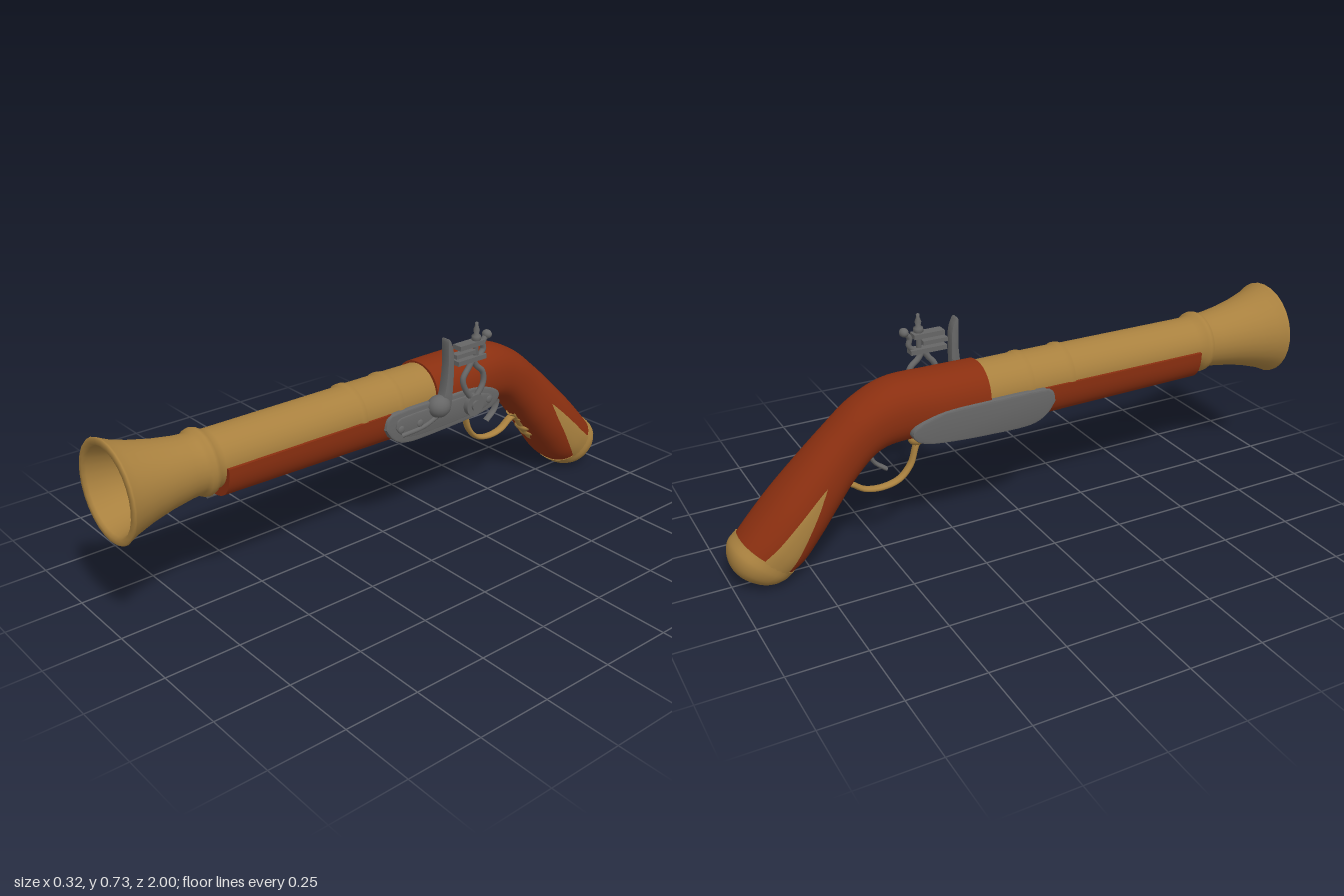
import * as THREE from 'three';
import { mergeVertices, toCreasedNormals } from 'three/addons/utils/BufferGeometryUtils.js';
import { ParametricGeometry } from 'three/addons/geometries/ParametricGeometry.js';

const material = (name, color) => {
  const m = new THREE.MeshStandardMaterial({ color });
  m.name = name;
  return m;
};

export function createModel() {
  const wood = material('red wood', 0x8a2f10);
  const brass = material('brass', 0xa9813f);
  const steel = material('steel', 0x666666);
  const model = new THREE.Group();

  const add = (name, geometry, mat, x = 0, y = 0, z = 0, parent = model) => {
    const mesh = new THREE.Mesh(geometry, mat);
    mesh.name = name;
    mesh.position.set(x, y, z);
    parent.add(mesh);
    return mesh;
  };
  const ball = (name, mat, r, [x, y, z], [sx, sy, sz] = [1, 1, 1], parent = model) => {
    const mesh = add(name, new THREE.SphereGeometry(r, 18, 12), mat, x, y, z, parent);
    mesh.scale.set(sx, sy, sz);
    return mesh;
  };
  // Smooth rod through [z, y] points in the plane at x, widened sideways
  const rod = (name, mat, pts, r, x = 0, widen = 1, parent = model) => {
    const path = new THREE.CatmullRomCurve3(pts.map(([z, y]) => new THREE.Vector3(0, y, z)));
    const mesh = add(name, new THREE.TubeGeometry(path, 32, r, 10), mat, x, 0, 0, parent);
    mesh.scale.x = widen;
    return mesh;
  };
  // Side plate cut from a smooth [z, y] outline, thick along x
  const plate = (name, mat, pts, depth, x, bevel = 0.005, parent = model) => {
    const curve = new THREE.SplineCurve([...pts, pts[0]].map(([z, y]) => new THREE.Vector2(-z, y)));
    const g = new THREE.ExtrudeGeometry(new THREE.Shape(curve.getPoints(56)), {
      depth, bevelEnabled: bevel > 0, bevelSize: bevel, bevelThickness: bevel, bevelSegments: 2,
    });
    return add(name, toCreasedNormals(g.rotateY(Math.PI / 2), 0.6), mat, x, 0, 0, parent);
  };

  // Barrel with flared muzzle, raised rings and hollow bore
  const AXIS = 0.485;
  const profile = [
    [0.094, -0.2], [0.095, -0.015], [0.099, -0.008], [0.099, 0.008], [0.094, 0.015],
    [0.094, 0.135], [0.099, 0.142], [0.099, 0.158], [0.092, 0.166], [0.091, 0.66],
    [0.094, 0.678], [0.103, 0.688], [0.106, 0.7], [0.103, 0.712], [0.094, 0.722],
    [0.097, 0.76], [0.108, 0.83], [0.124, 0.9], [0.143, 0.96], [0.156, 0.988], [0.16, 0.995],
    [0.156, 1], [0.14, 1], [0.134, 0.99], [0.118, 0.93], [0.096, 0.84], [0.077, 0.77], [0.067, 0.72],
  ].map(([r, z]) => new THREE.Vector2(r, z));
  add('barrel', new THREE.LatheGeometry(profile, 28).rotateX(Math.PI / 2), brass, 0, AXIS);
  add('boreEnd', new THREE.CircleGeometry(0.068, 28), brass, 0, AXIS, 0.722);

  // Fore-end cradle below the barrel
  const cradle = new THREE.Shape();
  for (let i = 0; i <= 28; i++) {
    const a = Math.PI + (i / 28) * Math.PI;
    const x = Math.sign(Math.cos(a)) * Math.abs(Math.cos(a)) ** 0.75 * 0.102;
    const y = -(Math.abs(Math.sin(a)) ** 0.8) * 0.12;
    i ? cradle.lineTo(x, y) : cradle.moveTo(x, y);
  }
  const fore = new THREE.ExtrudeGeometry(cradle, { depth: 0.82, steps: 8, bevelEnabled: false });
  const fp = fore.attributes.position;
  for (let i = 0; i < fp.count; i++) fp.setY(i, fp.getY(i) * (1.04 - 0.13 * fp.getZ(i)));
  add('foreEnd', toCreasedNormals(fore, 0.6), wood, 0, AXIS, -0.16);

  // Lofted shapes: each station is [top z, top y, bottom z, bottom y, half width]
  const loft = (stations) => {
    const top = new THREE.CatmullRomCurve3(stations.map((s) => new THREE.Vector3(0, s[1], s[0])));
    const low = new THREE.CatmullRomCurve3(stations.map((s) => new THREE.Vector3(s[4], s[3], s[2])));
    const soft = (v) => Math.sign(v) * Math.abs(v) ** 0.88;
    return (v, angle, size, target) => {
      const t = top.getPoint(v), b = low.getPoint(v);
      const c = soft(Math.cos(angle)) * size;
      target.set(
        b.x * soft(Math.sin(angle)) * size,
        (t.y + b.y) / 2 + ((t.y - b.y) / 2) * c,
        (t.z + b.z) / 2 + ((t.z - b.z) / 2) * c,
      );
    };
  };
  const TAU = Math.PI * 2;
  const grip = loft([
    [-0.15, 0.585, -0.15, 0.36, 0.104], [-0.3, 0.586, -0.28, 0.368, 0.104],
    [-0.46, 0.582, -0.42, 0.38, 0.099], [-0.57, 0.535, -0.505, 0.365, 0.093],
    [-0.67, 0.455, -0.585, 0.295, 0.093], [-0.76, 0.372, -0.65, 0.215, 0.104],
    [-0.85, 0.284, -0.715, 0.13, 0.115], [-0.925, 0.205, -0.775, 0.058, 0.115],
    [-0.975, 0.15, -0.825, 0.022, 0.106],
  ]);
  add('grip', new ParametricGeometry((u, v, p) => grip(v, u * TAU, 1, p), 40, 56), wood);
  add('gripFront', new ParametricGeometry((u, v, p) => grip(0, u * TAU, v, p), 40, 2), wood);

  // Butt cap and its pointed side spurs
  const cap = loft([
    [-0.965, 0.168, -0.808, 0.03, 0.111], [-0.992, 0.14, -0.832, 0.012, 0.109],
    [-1, 0.105, -0.86, 0.003, 0.096], [-0.993, 0.068, -0.892, 0.001, 0.068],
    [-0.965, 0.035, -0.932, 0.012, 0.025], [-0.95, 0.024, -0.949, 0.023, 0.001],
  ]);
  add('buttCap', new ParametricGeometry((u, v, p) => cap(v, u * TAU, 1, p), 36, 20), brass);
  add('buttCapRim', new ParametricGeometry((u, v, p) => cap(0, u * TAU, v, p), 36, 2), brass);
  for (const side of [1, -1]) {
    const spur = new ParametricGeometry((u, v, p) => {
      const spread = v ** 0.8;
      const from = 1.45 - 0.25 * spread, to = 1.45 + 0.65 * spread;
      const a = side > 0 ? from + (to - from) * u : -to + (to - from) * u;
      grip(0.61 + 0.38 * v, a, 1.025, p);
    }, 10, 20);
    add(side > 0 ? 'leftSpur' : 'rightSpur', spur, brass).material.side = THREE.DoubleSide;
  }

  // Trigger guard with ridged finials front and back
  rod('triggerGuard', brass, [[-0.33, 0.378], [-0.365, 0.345], [-0.39, 0.275], [-0.43, 0.232],
    [-0.49, 0.217], [-0.55, 0.226], [-0.6, 0.258], [-0.635, 0.262]], 0.009, 0, 1.7);
  ball('guardFrontFoot', brass, 0.03, [0, 0.362, -0.365], [0.8, 0.8, 1]);
  rod('guardTang', brass, [[-0.6, 0.28], [-0.64, 0.24], [-0.68, 0.185], [-0.72, 0.145]], 0.013, 0, 1.6);
  [[-0.632, 0.248, 0.026], [-0.666, 0.205, 0.036], [-0.69, 0.178, 0.036], [-0.712, 0.155, 0.026]].forEach(
    ([z, y, r]) => ball('guardRearRidge', brass, r, [0, y, z], [1, 0.45, 0.55]));
  for (let i = 0; i < 4; i++) {
    ball('guardFrontRidge', brass, 0.03, [0, 0.367, -0.19 - i * 0.04], [1.1 - i * 0.1, 0.4, 0.6]);
  }
  rod('trigger', steel, [[-0.5, 0.385], [-0.525, 0.35], [-0.515, 0.315], [-0.475, 0.28]], 0.007, 0, 1.9);

  // Ramrod tucked under the fore-end
  add('ramrod', new THREE.CylinderGeometry(0.013, 0.013, 0.4, 12).rotateX(Math.PI / 2), steel, 0, 0.372, 0.48);

  // Lock plates on both sides
  const outline = [[0.072, 0.44], [0.06, 0.475], [0, 0.483], [-0.15, 0.483], [-0.3, 0.48], [-0.39, 0.458],
    [-0.42, 0.432], [-0.39, 0.4], [-0.3, 0.385], [-0.15, 0.377], [-0.02, 0.377], [0.04, 0.4]];
  plate('lockPlate', steel, outline, 0.045, 0.062);
  plate('sidePlate', steel, outline, 0.045, -0.109);
  plate('lockRaisedPanel', steel, outline.map(([z, y]) => [-0.175 + (z + 0.175) * 0.86, 0.431 + (y - 0.431) * 0.7]),
    0.004, 0.11, 0.003);
  for (const z of [0.02, -0.06, -0.37]) ball('lockScrew', steel, 0.013, [0.117, 0.43, z], [0.4, 1, 1]);
  rod('lockSpring', steel, [[0.02, 0.408], [-0.08, 0.415], [-0.16, 0.445]], 0.008, 0.117);

  // Pan and upright striking plate
  const lock = new THREE.Group();
  lock.name = 'firingMechanism';
  model.add(lock);
  ball('pan', steel, 0.042, [0.117, 0.468, -0.14], [0.9, 0.9, 1], lock);
  plate('strikingPlate', steel, [[-0.135, 0.46], [-0.155, 0.52], [-0.165, 0.6], [-0.163, 0.685], [-0.17, 0.688],
    [-0.183, 0.65], [-0.186, 0.58], [-0.182, 0.5], [-0.175, 0.46]], 0.03, 0.103, 0.002, lock);

  // Cock: pivot, open neck, jaws, flint and screw
  const pivot = (r, depth, x) =>
    add('cockPivot', new THREE.CylinderGeometry(r, r, depth, 24).rotateZ(Math.PI / 2), steel, x, 0.435, -0.29, lock);
  pivot(0.038, 0.028, 0.121);
  pivot(0.018, 0.014, 0.135);
  rod('cockNeckFront', steel, [[-0.285, 0.455], [-0.25, 0.5], [-0.238, 0.54], [-0.262, 0.575], [-0.28, 0.6]], 0.01, 0.125, 1, lock);
  rod('cockNeckRear', steel, [[-0.295, 0.455], [-0.33, 0.505], [-0.326, 0.545], [-0.295, 0.575], [-0.28, 0.6]], 0.01, 0.125, 1, lock);
  const bar = (name, w, h, d, y, z) => add(name, new THREE.BoxGeometry(w, h, d), steel, 0.122, y, z, lock);
  bar('lowerJaw', 0.036, 0.016, 0.125, 0.604, -0.265);
  bar('flint', 0.028, 0.014, 0.085, 0.628, -0.24);
  bar('upperJaw', 0.036, 0.016, 0.105, 0.655, -0.262);
  const screw = [[0, 0], [0.009, 0], [0.009, 0.065], [0.016, 0.072], [0.016, 0.085], [0.008, 0.092],
    [0.011, 0.105], [0.005, 0.122], [0.006, 0.13], [0, 0.134]].map(([r, y]) => new THREE.Vector2(r, y));
  add('jawScrew', new THREE.LatheGeometry(screw, 14), steel, 0.125, 0.594, -0.292, lock);
  rod('cockSpur', steel, [[-0.305, 0.6], [-0.328, 0.625], [-0.325, 0.65], [-0.342, 0.672]], 0.009, 0.122, 1.2, lock);
  ball('cockSpurTip', steel, 0.015, [0.122, 0.672, -0.343], [1.2, 1, 1], lock);

  return model;
}
